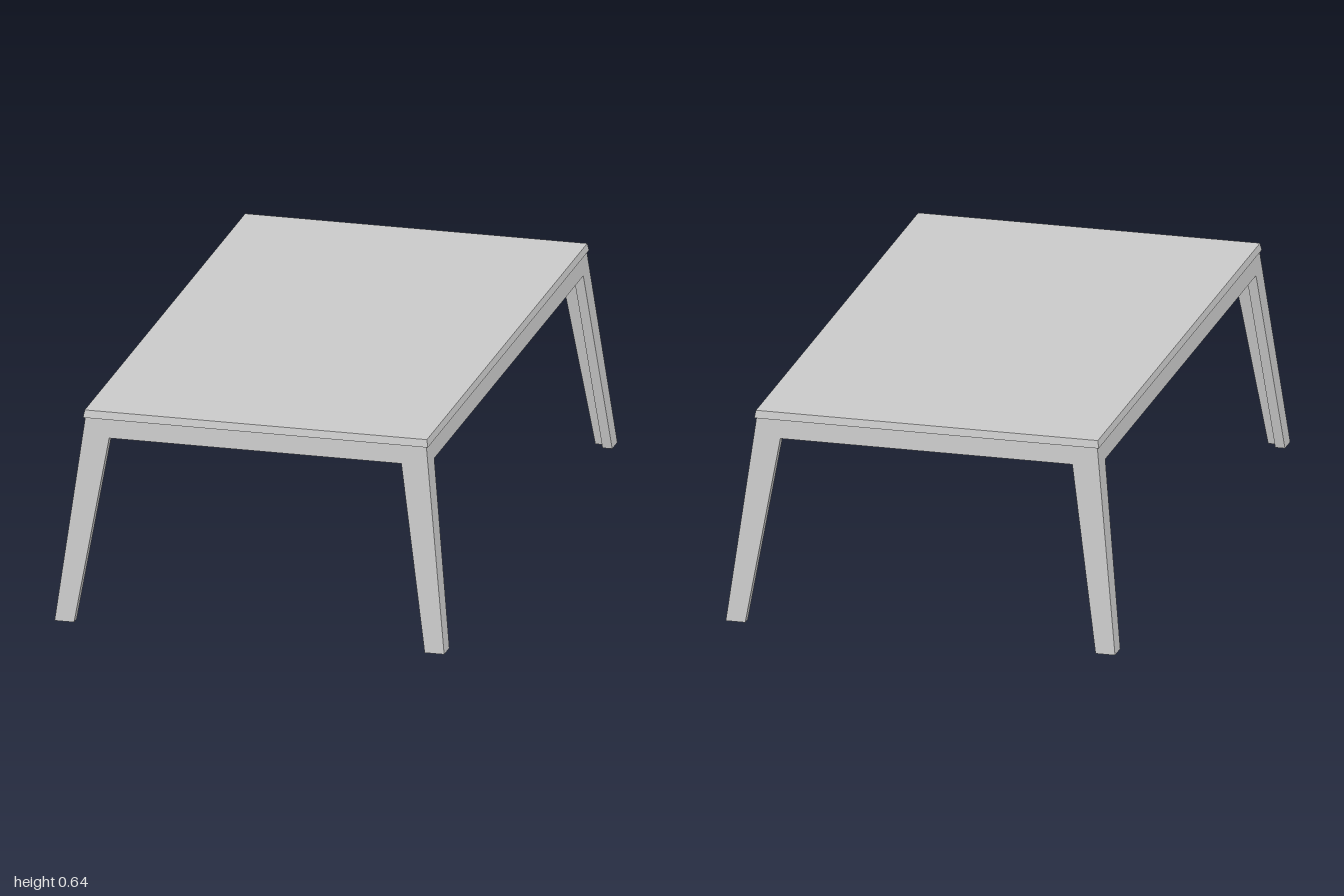
import * as THREE from 'three';

const SLOPE = 0.12;        // outward splay of legs and apron per unit of height
const T = 0.03;            // wall thickness of apron and legs
const Y_APRON = 0.565, Y_SLAB = 0.622, Y_TOP = 0.645;

const material = new THREE.MeshStandardMaterial({ color: 0xcccccc, flatShading: true });

// Outer corner of the table frame at height y
const corner = (y) => [0.6 - SLOPE * y, 1 - SLOPE * y];

// Closed solid between two [x, z] outlines with matching corners
function loft(name, bottom, y0, top, y1) {
  const outline = bottom.map(([x, z]) => new THREE.Vector2(x, z));
  if (THREE.ShapeUtils.area(outline) < 0) {
    bottom = [...bottom].reverse();
    top = [...top].reverse();
    outline.reverse();
  }
  const n = bottom.length;
  const pos = [], index = [];
  bottom.forEach(([x, z]) => pos.push(x, y0, z));
  top.forEach(([x, z]) => pos.push(x, y1, z));
  for (let i = 0; i < n; i++) {
    const j = (i + 1) % n;
    index.push(i, i + n, j, j, i + n, j + n);
  }
  for (const [a, b, c] of THREE.ShapeUtils.triangulateShape(outline, [])) {
    index.push(a, b, c, a + n, c + n, b + n);
  }
  const geo = new THREE.BufferGeometry();
  geo.setAttribute('position', new THREE.Float32BufferAttribute(pos, 3));
  geo.setIndex(index);
  const flat = geo.toNonIndexed();
  flat.computeVertexNormals();
  const mesh = new THREE.Mesh(flat, material);
  mesh.name = name;
  return mesh;
}

const rect = (x, z) => [[-x, -z], [x, -z], [x, z], [-x, z]];

// L-shaped leg section: outer corner (x, z), arm ends at ex and ez
const angle = (x, z, ex, ez) => [
  [x, z], [ex, z], [ex, z - T], [x - T, z - T], [x - T, ez], [x, ez],
];

// Mitred apron section along x or along z
const barX = (x, z) => [[-x, z], [x, z], [x - T, z - T], [-x + T, z - T]];
const barZ = (x, z) => [[x, -z], [x, z], [x - T, z - T], [x - T, -z + T]];

export function createModel() {
  const table = new THREE.Group();
  table.name = 'table';

  // Thin top with a slightly flared rim
  table.add(loft('tableTop', rect(0.531, 0.931), Y_SLAB, rect(0.527, 0.926), Y_TOP));

  // Apron, following the splay of the legs
  const low = corner(Y_APRON), high = corner(Y_SLAB);
  for (const s of [1, -1]) {
    const flipZ = (pts) => pts.map(([x, z]) => [x, s * z]);
    const flipX = (pts) => pts.map(([x, z]) => [s * x, z]);
    table.add(loft(s > 0 ? 'frontApron' : 'backApron',
      flipZ(barX(...low)), Y_APRON, flipZ(barX(...high)), Y_SLAB));
    table.add(loft(s > 0 ? 'leftApron' : 'rightApron',
      flipX(barZ(...low)), Y_APRON, flipX(barZ(...high)), Y_SLAB));
  }

  // Four tapered, splayed angle-section legs
  const foot = angle(...corner(0), 0.54, 0.94);
  const head = angle(...low, 0.45, 0.86);
  for (const sx of [1, -1]) {
    for (const sz of [1, -1]) {
      const mirror = (pts) => pts.map(([x, z]) => [sx * x, sz * z]);
      const name = (sz > 0 ? 'front' : 'back') + (sx > 0 ? 'Left' : 'Right') + 'Leg';
      table.add(loft(name, mirror(foot), 0, mirror(head), Y_APRON));
    }
  }
  return table;
}
